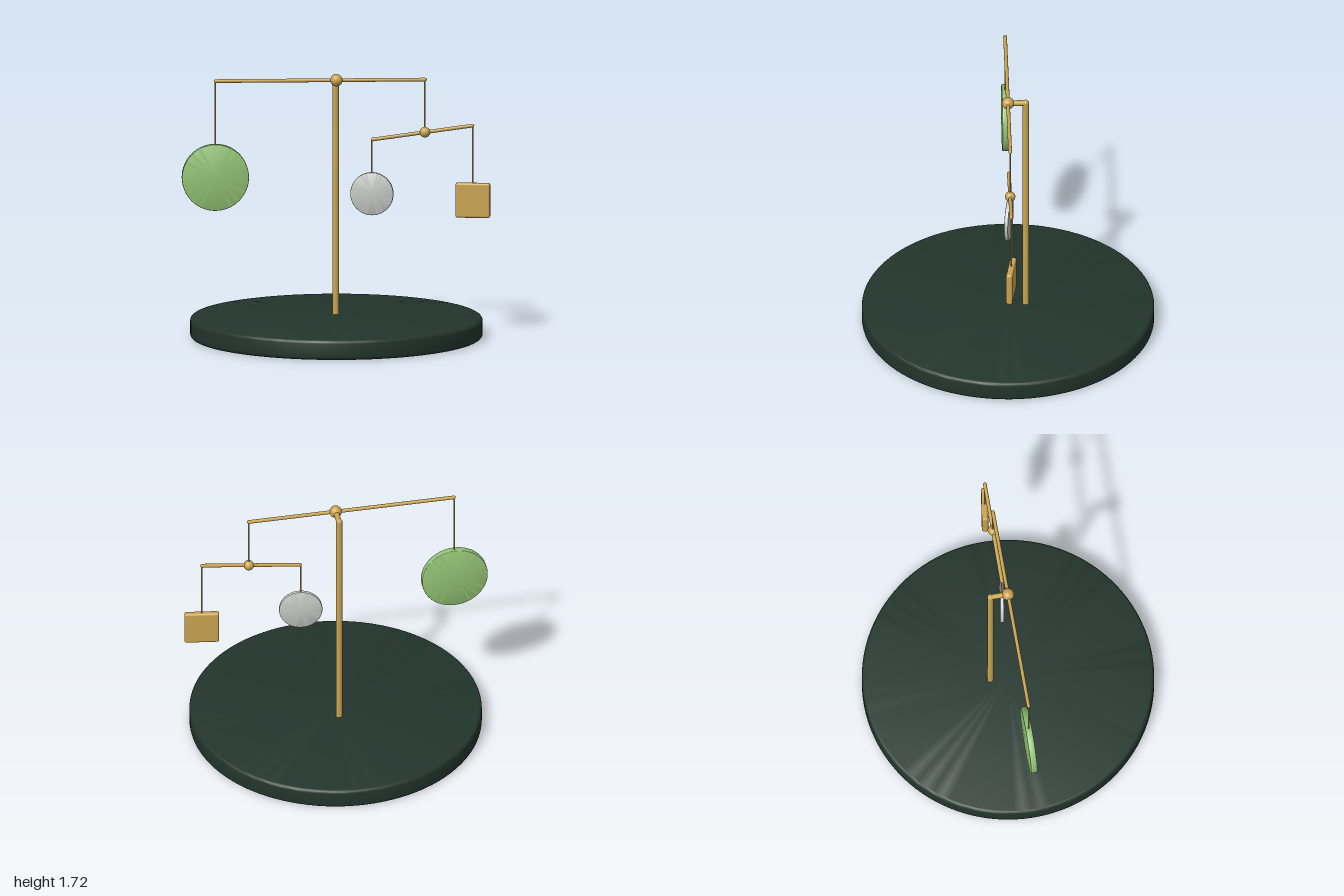
import * as THREE from 'three';
import { toCreasedNormals } from 'three/addons/utils/BufferGeometryUtils.js';
import { RoundedBoxGeometry } from 'three/addons/geometries/RoundedBoxGeometry.js';

const mat = (name, color) => {
  const m = new THREE.MeshStandardMaterial({ color });
  m.name = name;
  return m;
};

export function createModel() {
  const brass = mat('brass', 0xc9a350);
  const green = mat('leaf green', 0x93c374);
  const silver = mat('silver', 0xc5c9c4);
  const dark = mat('dark green', 0x22352d);
  const model = new THREE.Group();
  model.name = 'balanceMobile';

  const add = (name, geometry, material, x = 0, y = 0, z = 0) => {
    const mesh = new THREE.Mesh(geometry, material);
    mesh.name = name;
    mesh.position.set(x, y, z);
    model.add(mesh);
    return mesh;
  };

  // Solid disc along y with a softened rim, centred on the origin
  const discGeometry = (r, h, bevel, segments) => {
    const pts = [new THREE.Vector2(0, -h / 2)];
    for (const side of [-1, 1]) {
      for (let i = 0; i <= 4; i++) {
        const a = (side < 0 ? i / 4 - 1 : i / 4) * Math.PI / 2;
        pts.push(new THREE.Vector2(
          r - bevel + Math.cos(a) * bevel,
          side * (h / 2 - bevel) + Math.sin(a) * bevel));
      }
    }
    pts.push(new THREE.Vector2(0, h / 2));
    return toCreasedNormals(new THREE.LatheGeometry(pts, segments), 0.6);
  };

  // Straight rod between two points, with rounded ends
  const up = new THREE.Vector3(0, 1, 0);
  const rod = (name, a, b, r, segments = 16) => {
    const from = new THREE.Vector3(...a), to = new THREE.Vector3(...b);
    const dir = to.clone().sub(from);
    const mid = from.add(to).multiplyScalar(0.5);
    const mesh = add(name, new THREE.CapsuleGeometry(r, dir.length(), 5, segments),
      brass, mid.x, mid.y, mid.z);
    mesh.quaternion.setFromUnitVectors(up, dir.normalize());
  };

  const hub = (name, x, y, r) => add(name, new THREE.SphereGeometry(r, 24, 16), brass, x, y, 0);

  // Hanging disc facing the front, turned a little about its wire
  const pendantDisc = (name, material, x, y, r, thick, turn) => {
    const g = discGeometry(r, thick, 0.005, 64);
    g.rotateX(Math.PI / 2);
    add(name, g, material, x, y, 0).rotation.y = turn;
  };

  // Base and stand
  add('base', discGeometry(0.945, 0.13, 0.022, 96), dark, 0, 0.065, 0);
  rod('post', [0, 0.12, -0.115], [0, 1.68, -0.115], 0.021, 24);
  rod('supportArm', [0, 1.68, -0.115], [0, 1.68, 0], 0.018, 20);

  // Upper beam
  hub('upperHub', 0, 1.68, 0.04);
  rod('upperBeam', [-0.78, 1.68, 0], [0.573, 1.68, 0], 0.012);
  rod('greenDiscWire', [-0.783, 1.68, 0], [-0.783, 1.26, 0], 0.005, 10);
  rod('lowerBeamWire', [0.573, 1.68, 0], [0.573, 1.335, 0], 0.005, 10);

  // Lower beam
  hub('lowerHub', 0.573, 1.335, 0.034);
  rod('lowerBeam', [0.235, 1.29, 0], [0.88, 1.376, 0], 0.012);
  rod('silverDiscWire', [0.23, 1.29, 0], [0.23, 1.065, 0], 0.005, 10);
  rod('squareWire', [0.883, 1.376, 0], [0.883, 0.99, 0], 0.005, 10);

  // Hanging weights
  pendantDisc('greenDisc', green, -0.783, 1.05, 0.217, 0.042, 0);
  pendantDisc('silverDisc', silver, 0.23, 0.935, 0.14, 0.026, -0.16);
  add('squarePlate', new RoundedBoxGeometry(0.225, 0.228, 0.042, 4, 0.014),
    brass, 0.883, 0.887, 0).rotation.y = -0.15;

  return model;
}
